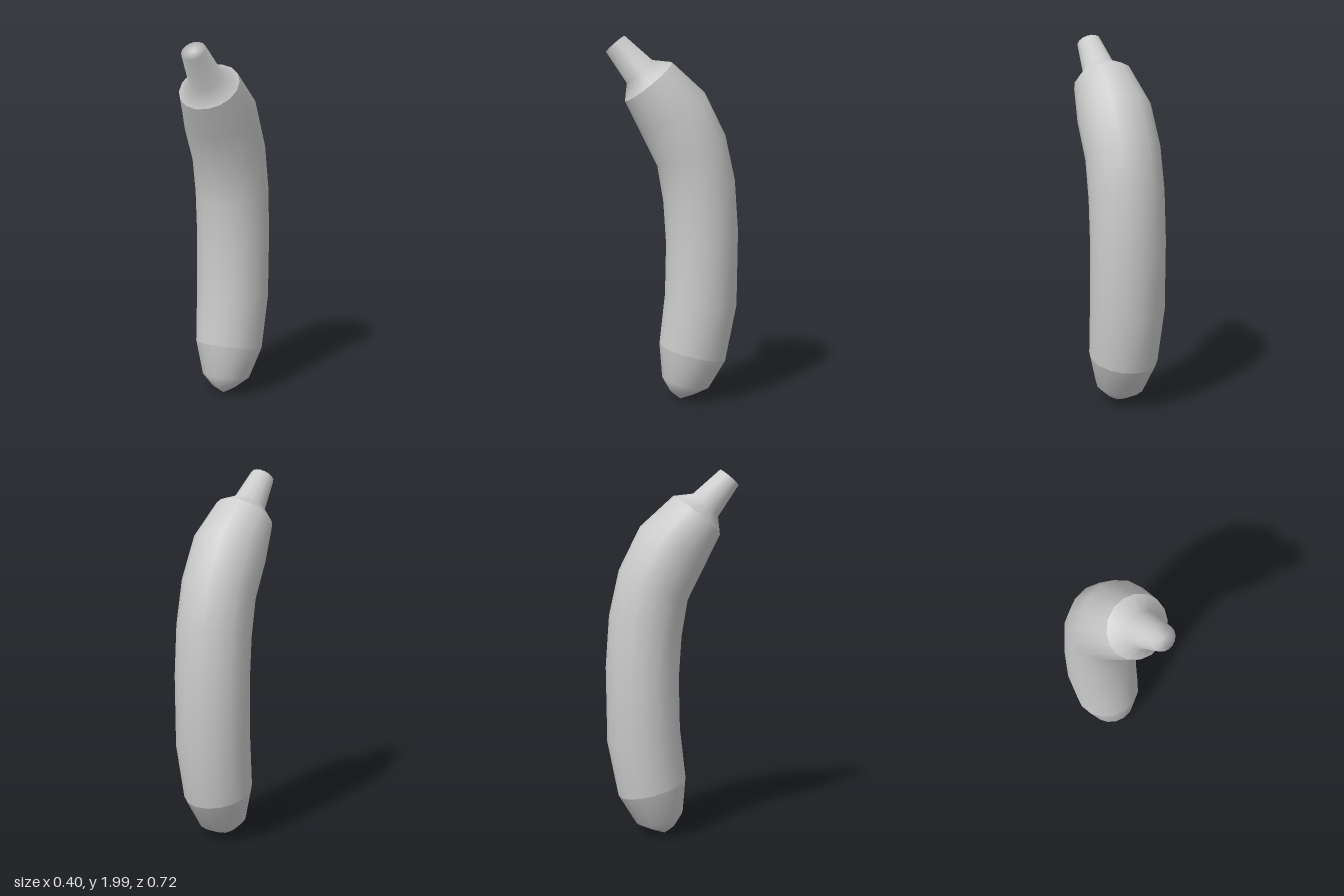
import * as THREE from 'three';

const SIDES = 16;
const TWIST = THREE.MathUtils.degToRad(5);

// Each ring: [front z, front y, back z, back y, half width]; half width 0 closes the end
const tipRings = [
  [-0.04, 0.005, -0.04, 0.005, 0],
  [0.015, 0.05, -0.12, 0.033, 0.065],
  [0.06, 0.13, -0.2, 0.07, 0.133],
  [0.075, 0.32, -0.295, 0.225, 0.187],
];
const bodyRings = [
  tipRings[3],
  [0.043, 0.6, -0.355, 0.53, 0.202],
  [0.037, 0.88, -0.36, 0.945, 0.203],
  [0.052, 1.11, -0.34, 1.225, 0.203],
  [0.085, 1.305, -0.285, 1.47, 0.203],
  [0.175, 1.485, -0.17, 1.7, 0.202],
  [0.26, 1.655, 0.01, 1.862, 0.165],
];
const stemRings = [
  bodyRings[6],
  [0.25, 1.75, 0.115, 1.873, 0.09],
  [0.36, 1.915, 0.262, 2.0, 0.066],
  [0.311, 1.958, 0.311, 1.958, 0],
];

// Smooth skin through a stack of tilted elliptical rings
function skin(name, rings) {
  const pos = [];
  const index = [];
  for (const [fz, fy, bz, by, w] of rings) {
    for (let i = 0; i < SIDES; i++) {
      const a = TWIST + (i / SIDES) * Math.PI * 2;
      const c = Math.cos(a) / 2;
      pos.push(w * Math.sin(a), (fy + by) / 2 + (by - fy) * c, (fz + bz) / 2 + (bz - fz) * c);
    }
  }
  for (let r = 0; r < rings.length - 1; r++) {
    for (let i = 0; i < SIDES; i++) {
      const j = (i + 1) % SIDES;
      const a = r * SIDES + i, b = r * SIDES + j;
      const c = a + SIDES, d = b + SIDES;
      if (rings[r + 1][4] > 0) index.push(c, d, b);
      if (rings[r][4] > 0) index.push(a, c, b);
    }
  }
  const geometry = new THREE.BufferGeometry();
  geometry.setAttribute('position', new THREE.Float32BufferAttribute(pos, 3));
  geometry.setIndex(index);
  geometry.computeVertexNormals();
  const mesh = new THREE.Mesh(geometry, new THREE.MeshStandardMaterial({ color: 0xcccccc }));
  mesh.name = name;
  return mesh;
}

export function createModel() {
  const group = new THREE.Group();
  group.name = 'curvedVegetable';
  group.add(skin('tip', tipRings), skin('body', bodyRings), skin('stem', stemRings));
  return group;
}
